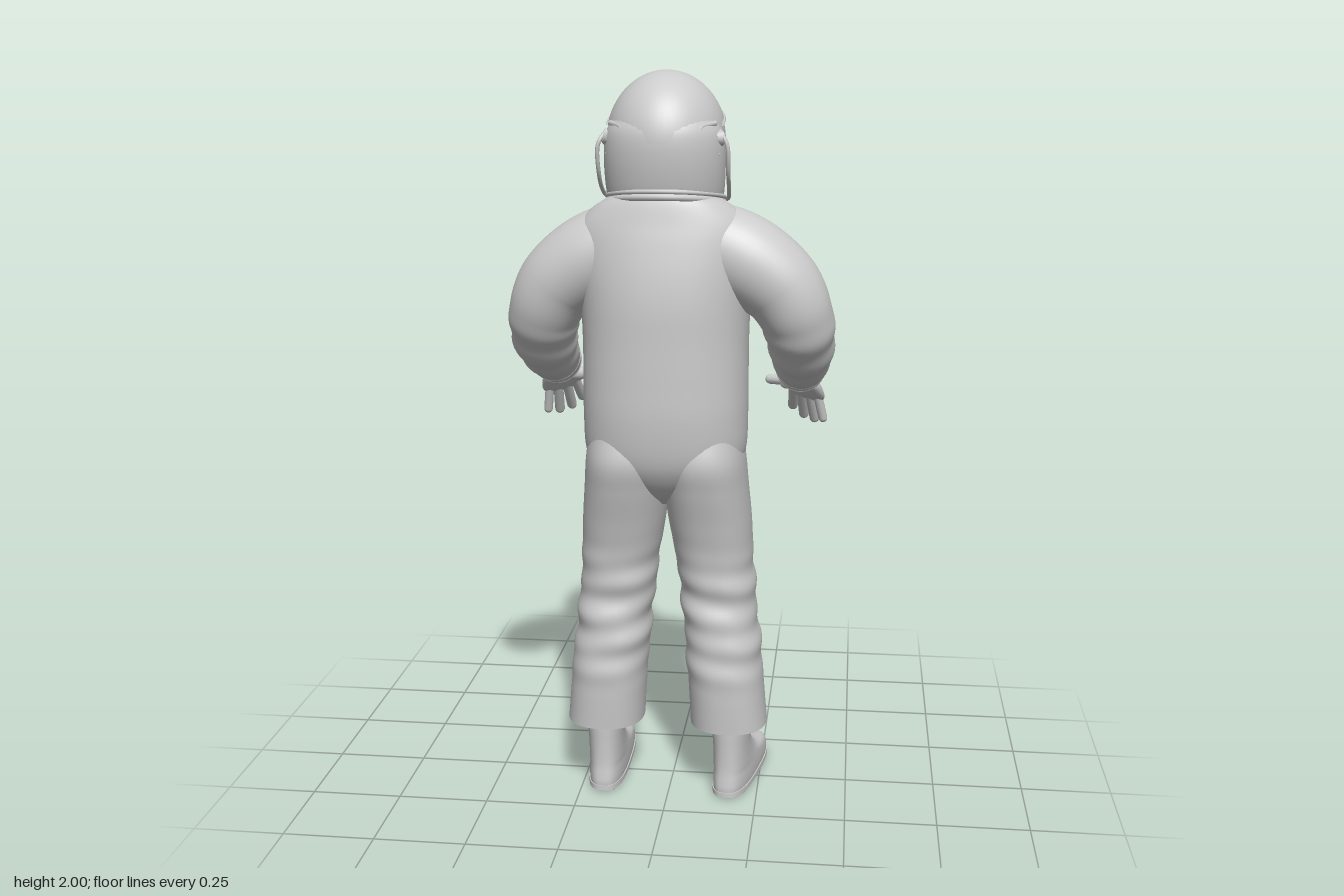
import * as THREE from 'three';

const V = (x, y, z) => new THREE.Vector3(x, y, z);
const mat = new THREE.MeshStandardMaterial({ color: 0xcccccc, side: THREE.DoubleSide });

function add(parent, name, geo, pos = [0, 0, 0], rot = [0, 0, 0], scale = [1, 1, 1]) {
  const m = new THREE.Mesh(geo, mat);
  m.name = name;
  m.position.set(...pos);
  m.rotation.set(...rot);
  m.scale.set(...scale);
  parent.add(m);
  return m;
}

// Smooth interpolation of a table of rows into n + 1 rows
function sample(rows, n) {
  const f = new THREE.CubicInterpolant(rows.map((r, i) => i), rows.flat(), rows[0].length);
  return Array.from({ length: n + 1 }, (_, i) => Array.from(f.evaluate(i / n * (rows.length - 1))));
}

// Skin over closed rings, with flat end caps
function loft(rings) {
  const n = rings[0].length, pos = [], idx = [];
  rings.forEach(r => r.forEach(p => pos.push(p.x, p.y, p.z)));
  for (let i = 0; i < rings.length - 1; i++) for (let j = 0; j < n; j++) {
    const a = i * n + j, c = i * n + (j + 1) % n;
    idx.push(a, a + n, c, a + n, c + n, c);
  }
  [rings[0], rings.at(-1)].forEach((r, top) => {
    const s = pos.length / 3, mid = V(0, 0, 0);
    r.forEach(p => { pos.push(p.x, p.y, p.z); mid.addScaledVector(p, 1 / n); });
    pos.push(mid.x, mid.y, mid.z);
    for (let j = 0; j < n; j++) {
      const a = s + j, b = s + (j + 1) % n;
      idx.push(s + n, top ? b : a, top ? a : b);
    }
  });
  const g = new THREE.BufferGeometry();
  g.setAttribute('position', new THREE.Float32BufferAttribute(pos, 3));
  g.setIndex(idx);
  g.computeVertexNormals();
  return g;
}

// Horizontal superellipse ring; bump(angle) scales it
function ring(y, cx, rx, zf, zb, p = 2, n = 48, bump = () => 1) {
  const pw = v => Math.sign(v) * Math.abs(v) ** (2 / p);
  return Array.from({ length: n }, (_, j) => {
    const a = j / n * Math.PI * 2, k = bump(a);
    return V(cx + rx * k * pw(Math.cos(a)), y, (zf + zb) / 2 + (zb - zf) / 2 * k * pw(Math.sin(a)));
  });
}

const tube = (pts, r, seg = 32) => new THREE.TubeGeometry(new THREE.CatmullRomCurve3(pts), seg, r, 8);

// The neck opening slopes down towards the chest
function slope(p) {
  p.y += 0.16 * (p.z - 0.11) * THREE.MathUtils.smoothstep(p.y, 1.45, 1.66);
  return p;
}

// Torso rows: height, half width, front z, back z
const torsoRows = [
  [0.85, 0.04, -0.03, 0.13], [0.89, 0.11, -0.07, 0.19], [0.94, 0.188, -0.084, 0.231], [1.0, 0.217, -0.087, 0.256],
  [1.1, 0.222, -0.093, 0.27], [1.2, 0.222, -0.095, 0.272], [1.3, 0.222, -0.095, 0.272], [1.4, 0.226, -0.09, 0.272],
  [1.48, 0.235, -0.078, 0.265], [1.55, 0.242, -0.06, 0.252], [1.6, 0.232, -0.045, 0.24], [1.645, 0.195, -0.04, 0.23],
  [1.672, 0.155, -0.04, 0.222]];
const torsoFine = sample(torsoRows, 60);
const BULGE = 2.25;

// Point on the chest surface
function chest(x, y) {
  const [, rx, zf, zb] = torsoFine.find(r => r[0] >= y);
  const k = (1 - Math.abs(x / rx) ** BULGE) ** (1 / BULGE);
  return slope(V(x, y, (zf + zb) / 2 - (zb - zf) / 2 * k));
}

function buildTorso(body) {
  add(body, 'torso', loft(torsoFine.map(([y, rx, zf, zb]) => ring(y, 0, rx, zf, zb, BULGE, 64).map(slope))));
  // Zip with a raised edge on either side
  for (const x of [-0.008, 0.008]) {
    const pts = Array.from({ length: 14 }, (_, i) => chest(x, 0.95 + i * 0.045));
    add(body, 'zipEdge', tube(pts, 0.004, 60));
  }
  const flap = new THREE.Shape([[-0.03, 0.03], [0.03, 0.03], [0.022, -0.01], [0, -0.05], [-0.022, -0.01]]
    .map(p => new THREE.Vector2(...p)));
  add(body, 'zipFlap', new THREE.ExtrudeGeometry(flap, { depth: 0.012, bevelEnabled: false }), [0, 0.935, -0.093], [-0.1, 0, 0]);
  for (const s of [-1, 1]) {
    const seam = [[0, 1.54], [0.04, 1.567], [0.09, 1.6], [0.14, 1.635]].map(([x, y]) => chest(s * x, y));
    add(body, 'yokeSeam', tube(seam, 0.004));
    // Hose connector
    const p = chest(s * 0.08, 1.2).toArray();
    add(body, 'connectorRing', new THREE.TorusGeometry(0.022, 0.005, 8, 24), p, [0, s * 0.2, 0]);
    add(body, 'connectorPlug', new THREE.CylinderGeometry(0.01, 0.012, 0.02, 16), p, [Math.PI / 2, 0, 0]);
  }
}

function buildHelmet(body) {
  const head = new THREE.Group();
  head.name = 'helmet';
  body.add(head);
  const centre = [0, 1.82, 0.065];
  add(head, 'visor', new THREE.SphereGeometry(1, 48, 32), centre, [0, 0, 0], [0.154, 0.176, 0.182]);
  // Upper shell, tilted so that its brow sits above the visor
  const shell = new THREE.SphereGeometry(1, 48, 20, 0, Math.PI * 2, 0, 1.27).rotateX(0.3);
  add(head, 'upperShell', shell, centre, [0, 0, 0], [0.158, 0.18, 0.186]);
  // Brow edge, running over the front from ear to ear
  const rim = Array.from({ length: 25 }, (_, i) => {
    const a = Math.PI * (0.95 + 1.1 * i / 24);
    return V(Math.cos(a) * Math.sin(1.27), Math.cos(1.27), Math.sin(a) * Math.sin(1.27))
      .applyAxisAngle(V(1, 0, 0), 0.3).multiply(V(0.158, 0.18, 0.186)).add(V(...centre));
  });
  add(head, 'visorRim', tube(rim, 0.004, 64));
  // Back and sides running down to the neck ring
  const skirt = sample([[1.665, 0.15, -0.035, 0.228], [1.7, 0.155, -0.035, 0.238], [1.75, 0.158, -0.03, 0.247],
    [1.8, 0.158, -0.03, 0.25], [1.84, 0.153, -0.03, 0.243], [1.88, 0.135, -0.02, 0.218]], 20);
  add(head, 'lowerShell', loft(skirt.map(([y, rx, zf, zb]) =>
    ring(y, 0, rx, zf, zb, 2.05).map(p => p.setY(p.y + 0.14 * (p.z - 0.1))))));
  for (const [r, t, y] of [[0.154, 0.006, 1.676], [0.152, 0.009, 1.662]])
    add(head, 'neckRing', new THREE.TorusGeometry(r, t, 10, 56), [0, y, 0.083], [Math.PI / 2 - 0.16, 0, 0]);
  for (const s of [-1, 1]) {
    const hose = [[0.145, 1.85, 0.15], [0.166, 1.815, 0.165], [0.168, 1.74, 0.145], [0.166, 1.69, 0.09],
      [0.155, 1.665, 0.01], [0.12, 1.65, -0.04]].map(([x, y, z]) => V(s * x, y, z));
    add(head, 'hose', tube(hose, 0.0055, 40));
    const latch = [[0.135, 1.868, 0.155], [0.1, 1.855, 0.203], [0.118, 1.83, 0.19], [0.088, 1.81, 0.219],
      [0.1, 1.785, 0.209], [0.143, 1.79, 0.16]].map(([x, y, z]) => V(s * x, y, z));
    add(head, 'latch', tube(latch, 0.007, 40));
    add(head, 'earBoss', new THREE.CylinderGeometry(0.018, 0.02, 0.02, 20), [s * 0.142, 1.83, 0.15], [0, s * 0.5, Math.PI / 2]);
  }
}

function buildLeg(body, s) {
  // Height, centre x, half width, front z, back z
  const rows = sample([[0.2, 0.175, 0.108, -0.068, 0.175], [0.3, 0.168, 0.106, -0.072, 0.182], [0.4, 0.16, 0.106, -0.082, 0.186],
    [0.5, 0.15, 0.104, -0.086, 0.178], [0.6, 0.14, 0.105, -0.088, 0.172], [0.7, 0.13, 0.108, -0.088, 0.18],
    [0.8, 0.119, 0.114, -0.09, 0.203], [0.9, 0.109, 0.115, -0.089, 0.232], [0.98, 0.103, 0.114, -0.085, 0.25],
    [1.06, 0.1, 0.105, -0.06, 0.235]], 96);
  add(body, 'trouserLeg', loft(rows.map(([y, cx, rx, zf, zb]) => {
    const w = Math.exp(-(((y - 0.53) / 0.17) ** 4)); // folds around the knee
    return ring(y, s * cx, rx, zf, zb, 2.3, 48, a => 1 + w * (0.026 * Math.sin(y * 72 + 1.3 * Math.sin(a + s))
      + 0.024 * Math.sin(y * 41 + 2 * Math.cos(a))));
  })));
}

function buildBoot(root, s) {
  const boot = new THREE.Group();
  boot.name = s > 0 ? 'leftBoot' : 'rightBoot';
  boot.position.set(s > 0 ? 0.175 : -0.185, 0, s > 0 ? 0.088 : 0.08);
  boot.rotation.y = s > 0 ? -0.18 : 0;
  root.add(boot);
  // Height, half width, toe z, heel z, squareness
  const len = s > 0 ? 0.92 : 1;
  const rows = sample([[0.012, 0.051, -0.315, 0.076, 2.9], [0.03, 0.053, -0.32, 0.077, 2.9], [0.05, 0.053, -0.31, 0.075, 2.9],
    [0.068, 0.052, -0.28, 0.073, 2.8], [0.085, 0.051, -0.2, 0.072, 2.6], [0.11, 0.05, -0.145, 0.072, 2.4],
    [0.15, 0.05, -0.1, 0.073, 2.2], [0.2, 0.053, -0.08, 0.075, 2.1], [0.25, 0.054, -0.075, 0.075, 2]], 32);
  add(boot, 'upper', loft(rows.map(([y, rx, zf, zb, p]) => ring(y, 0, rx, zf * len, zb, p, 40))));
  add(boot, 'sole', loft([0.006, 0.02].map(y => ring(y, 0, 0.055, -0.325 * len, 0.079, 2.9, 40))));
  for (let i = 0; i < 10; i++) if (i !== 6)
    add(boot, 'tread', new THREE.BoxGeometry(i % 9 ? 0.09 : 0.06, 0.008, 0.022), [0, 0.004, (-0.295 + i * 0.039) * len]);
}

function buildArm(root, s) {
  const reach = s > 0 ? 0 : -0.045;
  // Centre x, y, z and radius from shoulder to cuff
  const rows = sample([[0.06, 1.555, 0.105, 0.105], [0.14, 1.545, 0.108, 0.115], [0.22, 1.505, 0.112, 0.118],
    [0.295, 1.447, 0.116, 0.109], [0.336, 1.375, 0.111, 0.098], [0.35, 1.3, 0.072, 0.09], [0.35, 1.24, 0.0, 0.079],
    [0.345, 1.19, -0.085, 0.066]], 84);
  const last = rows.length - 1;
  const pts = rows.map(([x, y, z], i) => V(s * x, y, z + reach * i / last));
  const rings = pts.map((p, i) => {
    const t = pts[Math.min(last, i + 1)].clone().sub(pts[Math.max(0, i - 1)]).normalize();
    const ref = V(s, 1, 0);
    const u = ref.addScaledVector(t, -ref.dot(t)).normalize(), v = u.clone().cross(t);
    const fold = Math.exp(-(((i - 64) / 13) ** 4));
    return Array.from({ length: 40 }, (_, j) => {
      const a = j / 40 * Math.PI * 2;
      const r = rows[i][3] * (1 + fold * 0.035 * Math.sin(i * 0.62 + 0.8 * Math.sin(a)));
      return p.clone().addScaledVector(u, r * Math.cos(a)).addScaledVector(v, r * Math.sin(a));
    });
  });
  add(root, 'sleeve', loft(rings));
  const end = pts[last], dir = end.clone().sub(pts[last - 3]).normalize();
  for (const [d, r] of [[-0.035, 0.067], [-0.002, 0.063]]) {
    const band = add(root, 'cuffBand', new THREE.TorusGeometry(r, 0.005, 8, 40), end.clone().addScaledVector(dir, d).toArray());
    band.quaternion.setFromUnitVectors(V(0, 0, 1), dir);
  }

  // Gloved hand: local -z runs along the fingers, thumb on the inner side
  const hand = new THREE.Group();
  hand.name = s > 0 ? 'leftHand' : 'rightHand';
  hand.position.copy(end).addScaledVector(dir, -0.005).add(V(0, -0.008, 0));
  hand.rotation.set(-0.78, s > 0 ? -0.13 : 0.03, -s * 0.42);
  hand.scale.setScalar(1.06);
  root.add(hand);
  const palm = sample([[0.03, 0.044, 0.038], [-0.02, 0.038, 0.03], [-0.05, 0.049, 0.023], [-0.085, 0.056, 0.019],
    [-0.108, 0.052, 0.014], [-0.118, 0.04, 0.008]], 20);
  add(hand, 'palm', loft(palm.map(([z, rx, ry]) => ring(0, 0, rx, -ry, ry, 2.2, 28).map(p => V(p.x, -p.z, z))).reverse()));
  const finger = (name, from, to, r) => {
    const a = V(...from), d = V(...to).sub(a);
    const f = add(hand, name, new THREE.CapsuleGeometry(r, d.length(), 6, 12), a.clone().addScaledVector(d, 0.5).toArray());
    f.quaternion.setFromUnitVectors(V(0, 1, 0), d.normalize());
  };
  [[-0.036, -0.046, 0.174], [-0.012, -0.012, 0.19], [0.012, 0.024, 0.182], [0.036, 0.056, 0.156]].forEach(([x0, x1, z], i) =>
    finger('finger', [s * x0, 0, -0.095], [s * x1, -0.01 - 0.006 * i, -z], i === 3 ? 0.012 : 0.0135));
  finger('thumb', [-s * 0.025, -0.004, -0.055], [-s * 0.1, -0.008, -0.08], 0.013);
  finger('thumbBase', [-s * 0.015, -0.004, -0.05], [-s * 0.05, -0.006, -0.068], 0.019);
}

export function createModel() {
  const root = new THREE.Group();
  root.name = 'spaceSuit';
  const body = new THREE.Group();
  body.name = 'body';
  body.position.x = -0.01;
  root.add(body);
  buildTorso(body);
  buildHelmet(body);
  for (const s of [-1, 1]) {
    buildLeg(body, s);
    buildBoot(root, s);
    buildArm(root, s);
  }
  return root;
}
